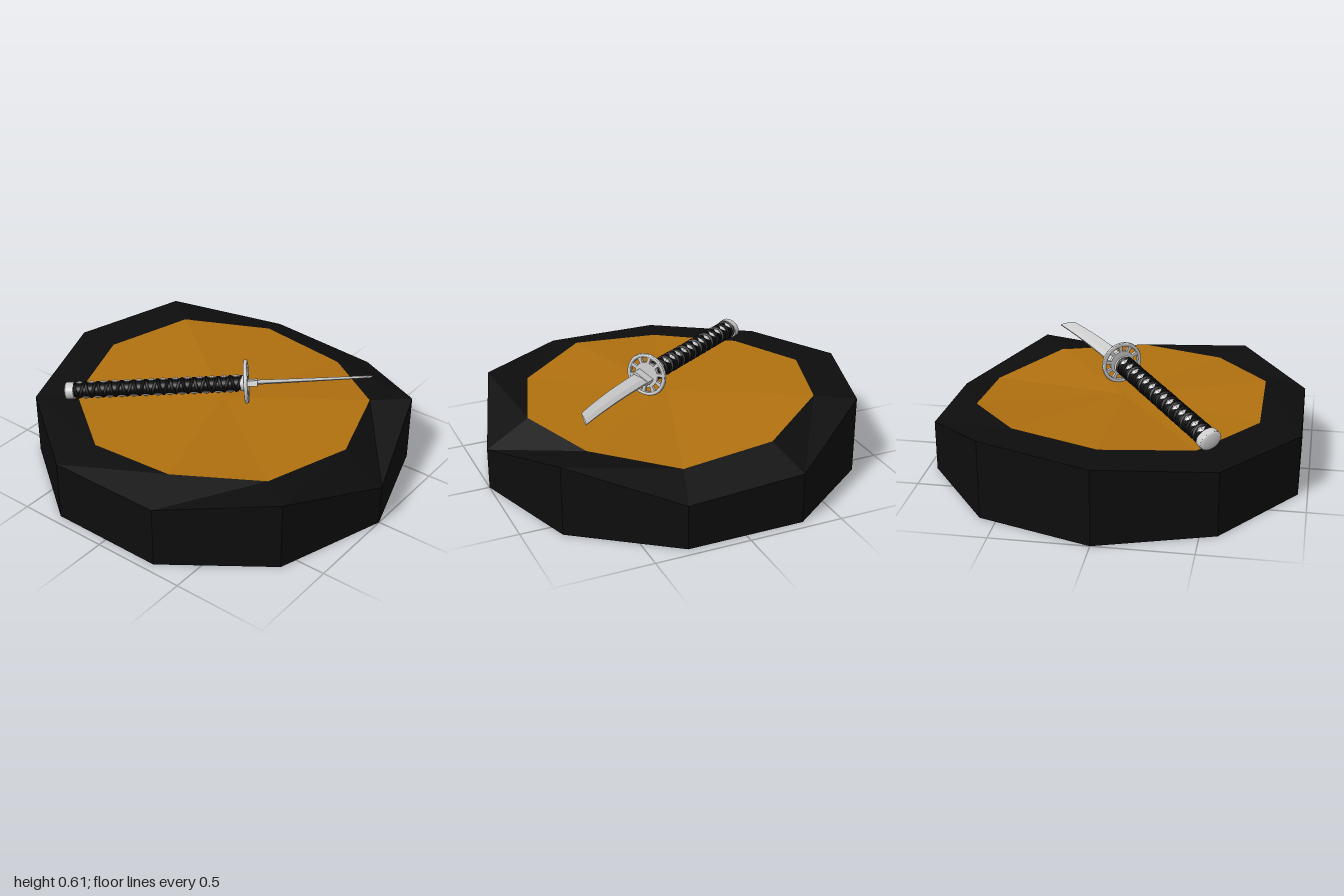
import * as THREE from 'three';

const paint = (color, extra = {}) => new THREE.MeshStandardMaterial({ color, ...extra });
const STEEL = paint(0xcccccc);
const STEEL_FLAT = paint(0xcccccc, { flatShading: true });
const BLACK = paint(0x0d0d0d);
const BLACK_FLAT = paint(0x0d0d0d, { flatShading: true });
const OCHRE = paint(0xb0700f, { flatShading: true });

function add(parent, name, geometry, material) {
  const mesh = new THREE.Mesh(geometry, material);
  mesh.name = name;
  parent.add(mesh);
  return mesh;
}

// Skin a stack of equal-length rings; caps are fans around each end's centre.
function loft(rings, capStart, capEnd) {
  const pos = [];
  const tri = (...pts) => pts.forEach(p => pos.push(p.x, p.y, p.z));
  const n = rings[0].length;
  const middle = ring => ring.reduce((s, p) => s.add(p), new THREE.Vector3()).divideScalar(n);
  const first = rings[0], last = rings[rings.length - 1];
  const c0 = middle(first), c1 = middle(last);
  for (let i = 0; i < n; i++) {
    const j = (i + 1) % n;
    for (let r = 0; r < rings.length - 1; r++) {
      const a = rings[r], b = rings[r + 1];
      tri(a[i], a[j], b[j]);
      tri(a[i], b[j], b[i]);
    }
    if (capStart) tri(c0, first[j], first[i]);
    if (capEnd) tri(c1, last[i], last[j]);
  }
  const g = new THREE.BufferGeometry();
  g.setAttribute('position', new THREE.Float32BufferAttribute(pos, 3));
  g.computeVertexNormals();
  return g;
}

// Oval cylinder along z, from z0 to z1
function oval(rx, ry, z0, z1) {
  return new THREE.CylinderGeometry(1, 1, z1 - z0, 32)
    .rotateX(Math.PI / 2).scale(rx, ry, 1).translate(0, 0, (z0 + z1) / 2);
}

// Ten-sided base with an uneven top edge and an inset coloured face
function makeBase() {
  const base = new THREE.Group();
  base.name = 'base';
  const outerHeights = [0.22, 0.37, 0.235, 0.27, 0.415, 0.4, 0.34, 0.325, 0.33, 0.37];
  const innerHeights = [0.355, 0.355, 0.312, 0.36, 0.412, 0.4, 0.36, 0.355, 0.388, 0.357];
  const ring = (radius, heights) => heights.map((h, k) => {
    const a = k * Math.PI / 5;
    return new THREE.Vector3(radius * Math.sin(a), h, radius * Math.cos(a));
  });
  const inner = ring(0.777, innerHeights);
  add(base, 'stone', loft([ring(1, Array(10).fill(0)), ring(1, outerHeights), inner], true, false), BLACK_FLAT);
  add(base, 'topFace', loft([inner], false, true), OCHRE);
  return base;
}

// Round guard with a ring of windows
function makeGuard() {
  const shape = new THREE.Shape().absarc(0, 0, 0.113, 0, Math.PI * 2);
  const windows = 10, step = Math.PI * 2 / windows;
  for (let i = 0; i < windows; i++) {
    const a = i * step + 0.11, b = (i + 1) * step - 0.11;
    const hole = new THREE.Path();
    hole.absarc(0, 0, 0.094, a, b, false);
    hole.absarc(0, 0, 0.068, b, a, true);
    hole.closePath();
    shape.holes.push(hole);
  }
  const guard = new THREE.Group();
  guard.name = 'guard';
  add(guard, 'guardPlate', new THREE.ExtrudeGeometry(shape, {
    depth: 0.016, bevelEnabled: false, curveSegments: 40,
  }).translate(0, 0, -0.008), STEEL);
  add(guard, 'guardRim', new THREE.TorusGeometry(0.105, 0.011, 8, 48), STEEL);
  return guard;
}

// Oval grip with crossing wrap and diamond inlays
function makeHandle() {
  const handle = new THREE.Group();
  handle.name = 'handle';
  const z0 = -0.91, z1 = -0.02, turns = 14, pitch = (z1 - z0) / turns;
  const rx = 0.047, ry = 0.036;
  add(handle, 'grip', oval(rx, ry, z0, z1), BLACK);
  for (const dir of [1, -1]) {
    const pts = [];
    for (let i = 0; i <= turns * 14; i++) {
      const t = i / 14;
      const a = Math.PI / 2 + dir * t * Math.PI * 2;
      pts.push(new THREE.Vector3(rx * Math.cos(a), ry * Math.sin(a), z0 + t * pitch));
    }
    add(handle, 'wrap', new THREE.TubeGeometry(new THREE.CatmullRomCurve3(pts), turns * 16, 0.009, 6), BLACK);
  }
  const diamond = new THREE.OctahedronGeometry(1).scale(0.029, 0.01, 0.021);
  for (let i = 0; i < turns; i++) {
    add(handle, 'inlay', diamond, STEEL_FLAT).position.set(0, ry + 0.003, z0 + (i + 0.5) * pitch);
    if (i) add(handle, 'inlay', diamond, STEEL_FLAT).position.set(0, -ry - 0.003, z0 + i * pitch);
  }
  // End cap and the ferrule next to the guard
  add(handle, 'pommel', oval(0.06, 0.045, -0.945, -0.905), STEEL);
  add(handle, 'pommelDome', new THREE.SphereGeometry(1, 24, 12).scale(0.06, 0.045, 0.012).translate(0, 0, -0.945), STEEL);
  add(handle, 'ferrule', oval(0.053, 0.042, -0.03, 0), STEEL);
  return handle;
}

// Curved, tapering blade with a flat spine, a ridge and a slanted tip
function makeBlade() {
  const length = 0.66, steps = 12, rings = [];
  for (let i = 0; i <= steps; i++) {
    const t = i / steps;
    const w = 0.043 - 0.009 * t;
    const bend = 0.035 * t * t;
    const slant = t * t * 0.05;
    const section = [[w, -0.008], [w, 0.008], [0.3 * w, 0.013], [-w, 0], [0.3 * w, -0.013]];
    rings.push(section.map(([x, y]) => new THREE.Vector3(
      x + bend, y * (1 - 0.5 * t), t * length - slant * (1 - x / w) / 2)));
  }
  return loft(rings, true, true);
}

export function createModel() {
  const model = new THREE.Group();
  model.name = 'swordOnStone';
  model.add(makeBase());

  // Sword built along z with the guard at its origin, then laid across the base
  const sword = new THREE.Group();
  sword.name = 'sword';
  const guard = makeGuard();
  guard.position.y = 0.008;
  sword.add(makeHandle(), guard);
  add(sword, 'blade', makeBlade(), STEEL_FLAT);
  add(sword, 'bladeCollar', new THREE.BoxGeometry(0.094, 0.03, 0.06).translate(0, 0, 0.03), STEEL);
  sword.rotation.set(-0.07, Math.PI / 5, -0.45, 'YXZ');
  sword.position.set(0.028, 0.485, 0.132);
  model.add(sword);
  return model;
}
